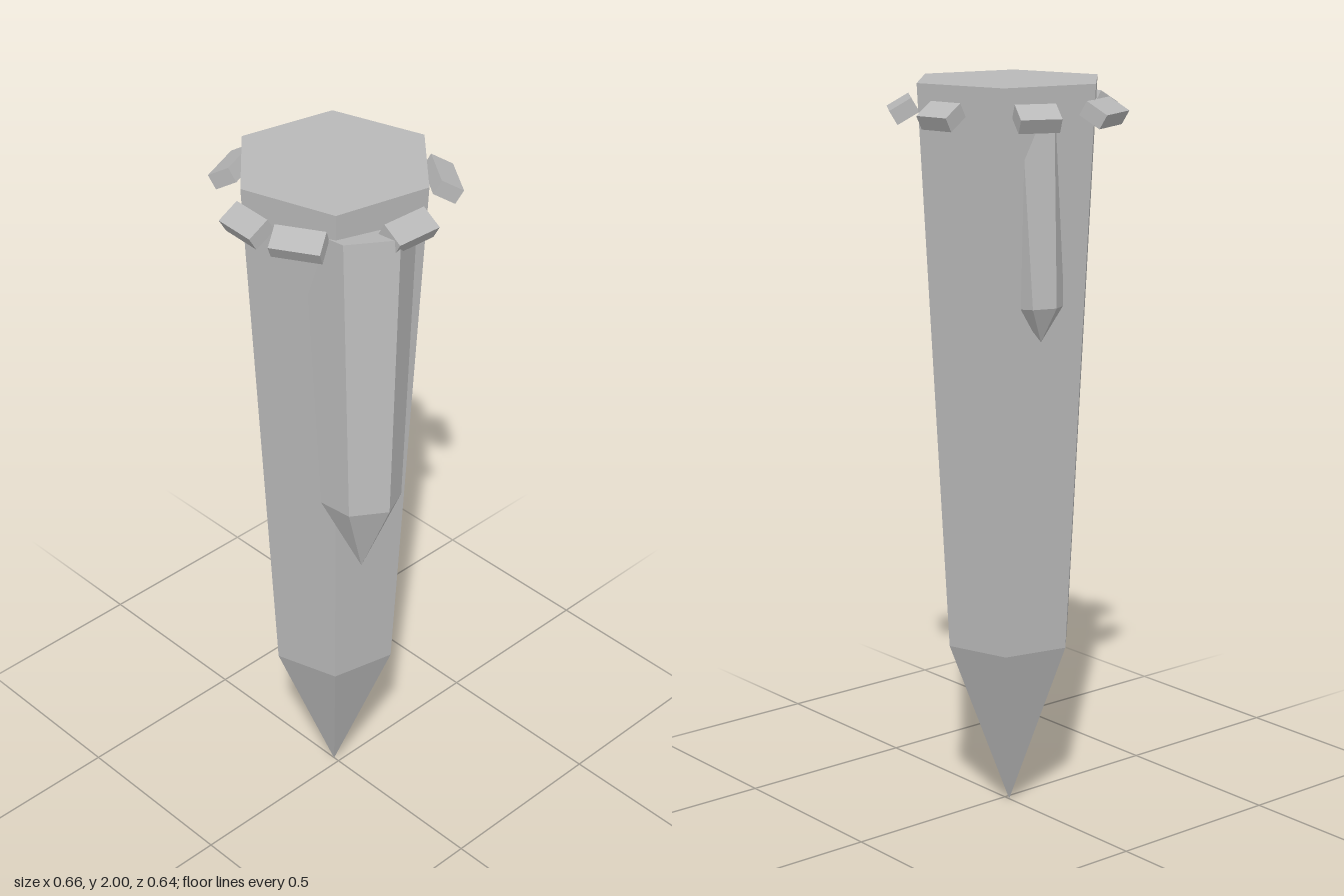
import * as THREE from 'three';

// Six-sided spike pointing down: base = centre of the lower ring, top = centre of the cap
function makeSpike(name, material, { base, top, baseRadius, topRadius, tip, turn }) {
  const from = new THREE.Vector3(...base);
  const axis = new THREE.Vector3(...top).sub(from);
  const h = axis.length();
  const profile = [[0, -tip], [baseRadius, 0], [topRadius, h], [0, h]].map(([r, y]) => new THREE.Vector2(r, y));
  const mesh = new THREE.Mesh(new THREE.LatheGeometry(profile, 6, turn), material);
  mesh.position.copy(from);
  mesh.quaternion.setFromUnitVectors(new THREE.Vector3(0, 1, 0), axis.normalize());
  mesh.name = name;
  return mesh;
}

export function createModel() {
  const model = new THREE.Group();
  model.name = 'hangingSpike';
  const stone = new THREE.MeshStandardMaterial({ color: 0xb8b8b8, flatShading: true });
  stone.name = 'greyStone';

  // Main spike and the two shards leaning out of it
  model.add(
    makeSpike('mainSpike', stone, {
      base: [-0.018, 0.48, 0], top: [-0.018, 2, -0.002],
      baseRadius: 0.181, topRadius: 0.264, tip: 0.475, turn: -0.224,
    }),
    makeSpike('largeShard', stone, {
      base: [0.226, 1.168, 0.136], top: [0.14, 1.915, 0.06],
      baseRadius: 0.106, topRadius: 0.142, tip: 0.2, turn: 0.5,
    }),
    makeSpike('smallShard', stone, {
      base: [-0.208, 1.43, -0.058], top: [-0.165, 1.88, -0.05],
      baseRadius: 0.063, topRadius: 0.084, tip: 0.09, turn: 0.6,
    }),
  );

  // Ring of chips around the rim, each tilted down and outward: [x, z, yaw, width]
  const chips = new THREE.Group();
  chips.name = 'rimChips';
  [
    [-0.035, 0.275, -0.06, 0.118],
    [0.117, 0.245, 0.525, 0.13],
    [0.256, 0.01, 1.53, 0.13],
    [0.137, -0.23, 2.54, 0.137],
    [-0.073, -0.271, -2.94, 0.097],
    [-0.27, -0.12, -1.99, 0.108],
    [-0.271, 0.105, -1.17, 0.136],
  ].forEach(([x, z, yaw, width]) => {
    const chip = new THREE.Mesh(new THREE.BoxGeometry(width, 0.042, 0.066), stone);
    chip.name = 'rimChip';
    chip.position.set(x, 1.925, z);
    chip.rotation.set(0.53, yaw, 0, 'YXZ');
    chips.add(chip);
  });
  model.add(chips);
  return model;
}
